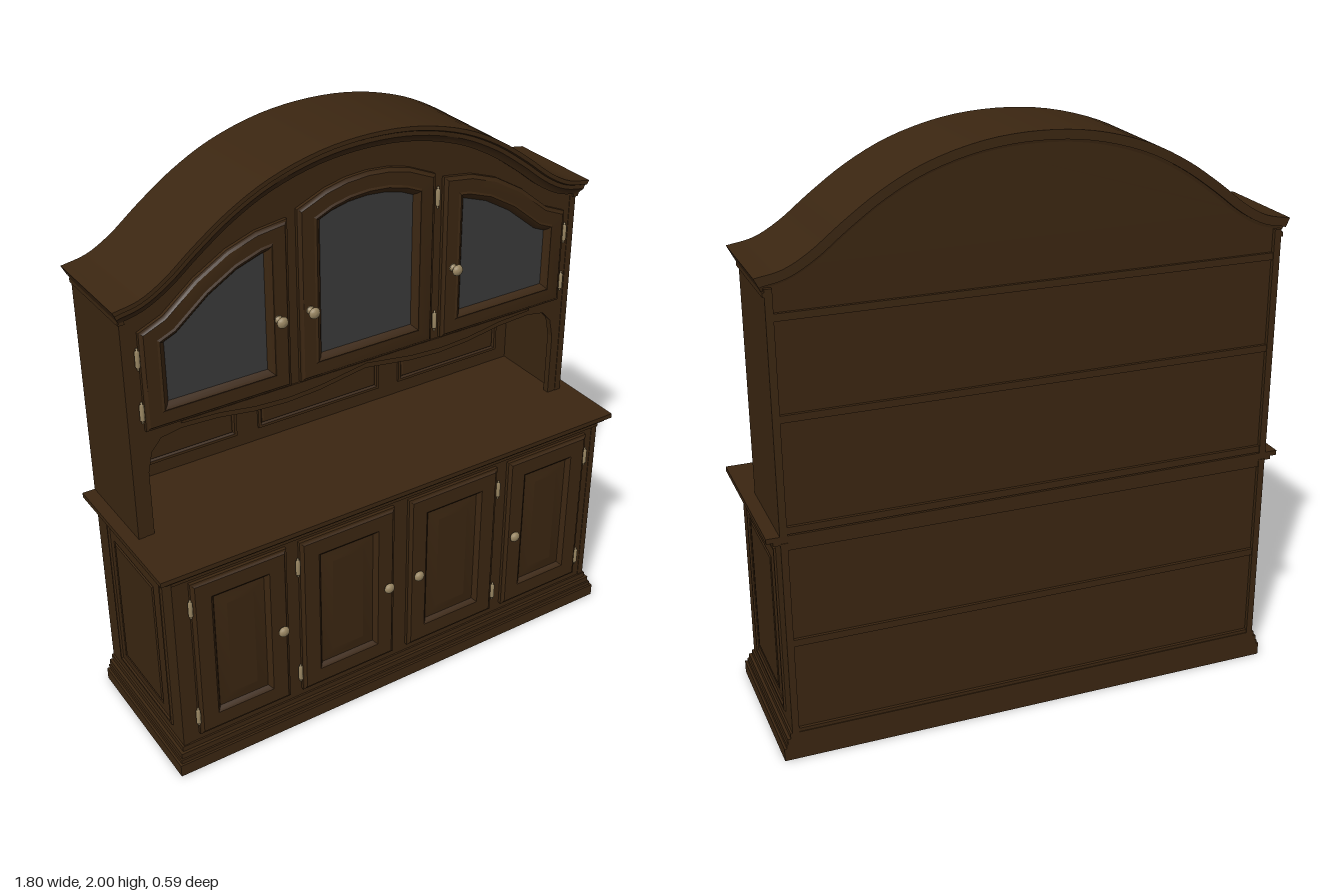
import * as THREE from 'three';
import { toCreasedNormals } from 'three/addons/utils/BufferGeometryUtils.js';

const mat = (name, color) => Object.assign(new THREE.MeshStandardMaterial({ color }), { name });

export function createModel() {
  const wood = mat('dark wood', 0x3b2611);
  const glass = mat('grey glass', 0x3a3a3a);
  const brass = mat('pale brass', 0x9a8763);
  const root = new THREE.Group();
  root.name = 'cabinet';

  const add = (name, geo, material = wood, parent = root) => {
    const m = new THREE.Mesh(geo, material);
    m.name = name;
    parent.add(m);
    return m;
  };
  // box given by its lower and upper bounds
  const box = (name, x0, x1, y0, y1, z0, z1) => {
    const m = add(name, new THREE.BoxGeometry(x1 - x0, y1 - y0, z1 - z0));
    m.position.set((x0 + x1) / 2, (y0 + y1) / 2, (z0 + z1) / 2);
    return m;
  };
  const rect = (x0, x1, y0, y1) => [[x0, y0], [x1, y0], [x1, y1], [x0, y1]];
  const mirror = (pts) => pts.map(([x, y]) => [-x, y]).reverse();
  const shapeOf = (pts) => new THREE.Shape(pts.map(([x, y]) => new THREE.Vector2(x, y)));
  const plate = (name, pts, z0, z1) =>
    add(name, new THREE.ExtrudeGeometry(shapeOf(pts), { depth: z1 - z0, bevelEnabled: false }).translate(0, 0, z0));
  const meshFrom = (tris, crease = 0.5) => {
    const g = new THREE.BufferGeometry();
    g.setAttribute('position', new THREE.Float32BufferAttribute(tris.flat(), 3));
    g.computeVertexNormals();
    return toCreasedNormals(g, crease);
  };

  // move a counter-clockwise outline inwards with mitred corners
  const inset = (pts, d) => pts.map((p, i) => {
    const n = pts.length, a = pts[(i + n - 1) % n], b = pts[(i + 1) % n];
    const normal = (u, v) => {
      const l = Math.hypot(v[0] - u[0], v[1] - u[1]);
      return [-(v[1] - u[1]) / l, (v[0] - u[0]) / l];
    };
    const m = normal(a, p), k = normal(p, b), s = d / (1 + m[0] * k[0] + m[1] * k[1]);
    return [p[0] + (m[0] + k[0]) * s, p[1] + (m[1] + k[1]) * s];
  });
  // moulded panel: the outline stepped inwards through [inset, z] pairs, then filled
  const relief = (name, outline, steps, z, fill = wood) => {
    const loops = steps.map(([d, h]) => inset(outline, d).map(([x, y]) => [x, y, z + h]));
    const tris = [], cap = [];
    for (let j = 0; j + 1 < loops.length; j++) {
      outline.forEach((_, i) => {
        const k = (i + 1) % outline.length, A = loops[j], B = loops[j + 1];
        tris.push(...A[i], ...A[k], ...B[k], ...A[i], ...B[k], ...B[i]);
      });
    }
    const last = loops[loops.length - 1];
    THREE.ShapeUtils.triangulateShape(last.map((p) => new THREE.Vector2(p[0], p[1])), [])
      .forEach((f) => f.forEach((i) => cap.push(...last[i])));
    const g = new THREE.Group();
    g.name = name;
    root.add(g);
    add(name + 'Moulding', meshFrom(tris), wood, g);
    add(name + 'Field', meshFrom(cap), fill, g);
    return g;
  };

  // plinth: stepped hollow frames
  [[0, 0.045, 0.885, 0.28], [0.045, 0.06, 0.877, 0.272], [0.06, 0.08, 0.872, 0.266], [0.08, 0.1, 0.862, 0.256]]
    .forEach(([y0, y1, x, z]) => {
      const s = shapeOf(rect(-x, x, -z, 0.297));
      s.holes.push(new THREE.Path(rect(-0.83, 0.83, -0.225, 0.275).map(([a, b]) => new THREE.Vector2(a, b))));
      const g = new THREE.ExtrudeGeometry(s, { depth: y1 - y0, bevelEnabled: false });
      add('plinth', g.rotateX(-Math.PI / 2).translate(0, y0, 0));
    });

  // lower body and counter
  box('lowerBody', -0.853, 0.853, 0.09, 0.79, -0.27, 0.25);
  box('counterMoulding', -0.878, 0.878, 0.785, 0.798, -0.295, 0.264);
  box('counterTop', -0.9, 0.9, 0.798, 0.815, -0.297, 0.277);
  box('counterTrim', -0.856, 0.856, 0.768, 0.786, 0.2, 0.256);

  // crown curve and its offset downwards
  const half = [[0.885, 1.645], [0.8, 1.662], [0.72, 1.705], [0.62, 1.782], [0.5, 1.865], [0.36, 1.935], [0.18, 1.985]];
  const curve = new THREE.CatmullRomCurve3([...half.map(([x, y]) => [-x, y]), [0, 2], ...half.slice().reverse()]
    .map(([x, y]) => new THREE.Vector3(x, y, 0)));
  const N = 56;
  const crownAt = (i, d) => {
    const p = curve.getPoint(i / N), t = curve.getTangent(i / N);
    if (i === 0) return [p.x + d * 0.5, p.y - d];
    if (i === N) return [p.x - d * 0.5, p.y - d];
    return [p.x + t.y * d, p.y - t.x * d];
  };
  const underCrown = (d, w) => Array.from({ length: N + 1 }, (_, i) => crownAt(N - i, d))
    .filter(([x]) => Math.abs(x) < w);

  // crown moulding: section of [offset, z] swept along the curve
  const section = [[0, -0.297], [0, 0.068], [0.014, 0.068], [0.018, 0.06], [0.032, 0.06], [0.042, 0.05],
    [0.055, 0.045], [0.055, -0.28], [0.03, -0.285], [0.03, -0.297]];
  const crown = [];
  const P = (i, k) => { const [d, z] = section[k % section.length]; return [...crownAt(i, d), z]; };
  for (let i = 0; i < N; i++) {
    for (let k = 0; k < section.length; k++) {
      const a = P(i, k), b = P(i, k + 1), c = P(i + 1, k + 1), d = P(i + 1, k);
      crown.push(...a, ...b, ...c, ...a, ...c, ...d);
    }
  }
  THREE.ShapeUtils.triangulateShape(section.map(([d, z]) => new THREE.Vector2(-z, -d)), []).forEach(([a, b, c]) => {
    crown.push(...P(N, a), ...P(N, b), ...P(N, c), ...P(0, a), ...P(0, c), ...P(0, b));
  });
  add('crownMoulding', meshFrom(crown));

  // back panel, shelf edges and upper shelf
  plate('backPanel', [[-0.84, 0.1], [0.84, 0.1], [0.84, 1.62], ...underCrown(0.03, 0.83), [-0.84, 1.62]], -0.283, -0.265);
  [0.1, 0.43, 0.775, 0.83, 1.2, 1.52].forEach((y) => box('shelfEdge', -0.84, 0.84, y - 0.012, y + 0.012, -0.294, -0.27));
  box('cupboardFloor', -0.84, 0.84, 1.19, 1.21, -0.27, 0.02);

  // front face of the upper part with scalloped valance and side stiles
  const scallop = [[0.8, 0.815], [0.8, 1.05], [0.785, 1.12], [0.75, 1.16], [0.68, 1.172], [0.55, 1.165], [0.42, 1.145],
    [0.3, 1.138], [0.18, 1.145], [0.08, 1.16]];
  plate('upperFace', [[-0.85, 0.815], ...scallop.map(([x, y]) => [-x, y]), [0, 1.172], ...scallop.slice().reverse(),
    [0.85, 0.815], [0.85, 1.6], ...underCrown(0.03, 0.84), [-0.85, 1.6]], 0.012, 0.036);
  plate('valanceBead', [...scallop.slice(4).map(([x, y]) => [-x, y + 0.02]), [0, 1.192],
    ...scallop.slice(4).reverse().map(([x, y]) => [x, y + 0.02]), [0.68, 1.2], [-0.68, 1.2]], 0.036, 0.042);

  // raised panels in the niche
  [[-0.78, -0.335], [-0.25, 0.25], [0.335, 0.78]].forEach(([a, b]) => relief('nichePanel', rect(a, b, 0.865, 1.125),
    [[0, 0], [0, 0.008], [0.01, 0.008], [0.016, 0.002], [0.022, 0.006]], -0.265));

  // sides, left and right
  for (const s of [-1, 1]) {
    const side = (name, x0, x1, ...r) => box(name, Math.min(s * x0, s * x1), Math.max(s * x0, s * x1), ...r);
    side('upperSide', 0.832, 0.856, 0.815, 1.61, -0.297, 0.038);
    side('lowerSide', 0.832, 0.855, 0.09, 0.79, -0.297, 0.252);
    side('corniceStep', 0.84, 0.862, 1.585, 1.6, -0.297, 0.045);
    const o = rect(-0.18, 0.22, 0.135, 0.74);
    const p = relief('sidePanel', s > 0 ? o : mirror(o),
      [[0, 0], [0.004, 0.006], [0.012, 0.006], [0.018, 0.001], [0.055, 0.005], [0.06, 0.001], [0.066, 0.006]], 0);
    p.rotation.y = s * Math.PI / 2;
    p.position.x = s * 0.855;
  }

  // fittings
  const knobGeo = new THREE.LatheGeometry([[0, 0], [0.014, 0], [0.012, 0.004], [0.006, 0.007], [0.006, 0.016], [0.016, 0.02],
    [0.02, 0.026], [0.017, 0.033], [0.008, 0.037], [0, 0.038]].map(([r, y]) => new THREE.Vector2(r, y)), 16).rotateX(Math.PI / 2);
  const knob = (x, y, z) => add('knob', knobGeo, brass).position.set(x, y, z);
  const hingeGeo = new THREE.LatheGeometry([[0, -0.04], [0.004, -0.036], [0.003, -0.03], [0.008, -0.026], [0.008, 0.026],
    [0.003, 0.03], [0.004, 0.036], [0, 0.04]].map(([r, y]) => new THREE.Vector2(r, y)), 10);
  const hinge = (x, y, z) => add('hinge', hingeGeo, brass).position.set(x, y, z);

  // lower doors
  const lowerSteps = [[0, 0], [0, 0.012], [0.006, 0.014], [0.012, 0.02], [0.068, 0.02], [0.076, 0.014],
    [0.082, 0.005], [0.125, 0.012]];
  for (const s of [-1, 1]) {
    [[0.03, 0.4, 0.062, 0.408], [0.45, 0.797, 0.48, 0.8]].forEach(([a, b, k, h]) => {
      const o = rect(a, b, 0.13, 0.755);
      relief('lowerDoor', s > 0 ? o : mirror(o), lowerSteps, 0.25);
      knob(s * k, 0.44, 0.258);
      hinge(s * h, 0.66, 0.262);
      hinge(s * h, 0.21, 0.262);
    });
  }

  // upper glazed doors
  const glazedSteps = [[0, 0], [0, 0.012], [0.006, 0.014], [0.012, 0.02], [0.055, 0.02], [0.062, 0.024],
    [0.072, 0.018], [0.082, 0.006]];
  const sideDoor = [[0.29, 1.205], [0.802, 1.205], [0.802, 1.545], [0.72, 1.58], [0.61, 1.67], [0.5, 1.735],
    [0.4, 1.77], [0.29, 1.785]];
  const middleDoor = [[-0.255, 1.205], [0.255, 1.205], [0.255, 1.805], [0.155, 1.848], [0.08, 1.866], [0, 1.872],
    [-0.08, 1.866], [-0.155, 1.848], [-0.255, 1.805]];
  relief('glazedDoor', sideDoor, glazedSteps, 0.036, glass);
  relief('glazedDoor', mirror(sideDoor), glazedSteps, 0.036, glass);
  relief('glazedDoor', middleDoor, glazedSteps, 0.036, glass);
  [-0.335, -0.22, 0.33].forEach((x) => knob(x, 1.46, 0.056));
  [[-0.81, 1.46], [-0.81, 1.275], [0.81, 1.46], [0.81, 1.275], [0.268, 1.72], [0.268, 1.275]]
    .forEach(([x, y]) => hinge(x, y, 0.046));

  return root;
}
